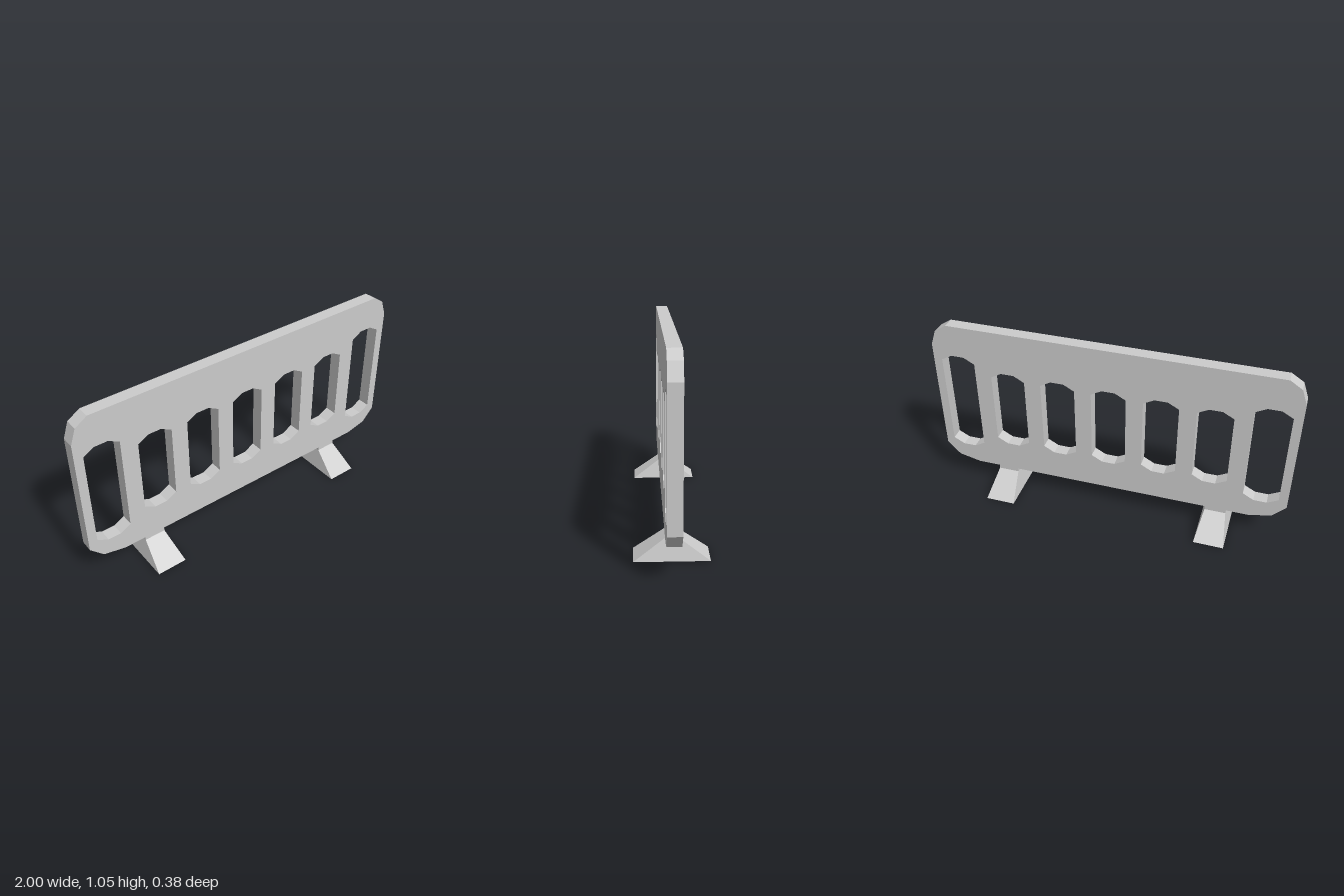
import * as THREE from 'three';

const material = new THREE.MeshStandardMaterial({ color: 0xcccccc, flatShading: true });
const DEPTH = 0.07;

// Upright slot with faceted ends, centred on x = cx
function slot(cx, bottom, top) {
  const w = 0.096, n = 0.036, c = 0.033;
  const half = [[w, bottom + c], [w, top - c], [n, top]];
  const left = [[-n, top], [-w, top - c], [-w, bottom + c], [-n, bottom]];
  const points = [[n, bottom], ...half, ...left];
  return new THREE.Path(points.map(([x, y]) => new THREE.Vector2(cx + x, y)));
}

// Barrier board with clipped corners and a row of slots
function createPanel() {
  const half = [[0.805, 0.144], [0.928, 0.173], [1, 0.25], [1, 0.922], [0.969, 1.007], [0.903, 1.049]];
  const mirrored = half.map(([x, y]) => [-x, y]).reverse();
  const shape = new THREE.Shape([...half, ...mirrored].map(([x, y]) => new THREE.Vector2(x, y)));
  for (let i = -2; i <= 2; i++) shape.holes.push(slot(i * 0.285, 0.323, 0.801));
  for (const side of [-1, 1]) shape.holes.push(slot(side * 0.856, 0.259, 0.865));

  const geometry = new THREE.ExtrudeGeometry(shape, { depth: DEPTH, bevelEnabled: false });
  geometry.translate(0, 0, -DEPTH / 2);
  const panel = new THREE.Mesh(geometry, material);
  panel.name = 'barrierPanel';
  return panel;
}

// Foot: flared wedge below a short neck that meets the board
function createFoot(side) {
  const foot = new THREE.Group();
  foot.name = side > 0 ? 'leftFoot' : 'rightFoot';
  foot.position.x = side * 0.621;

  const wedgeGeometry = new THREE.BoxGeometry(1, 0.115, 1);
  wedgeGeometry.translate(0, 0.0575, 0);
  const p = wedgeGeometry.attributes.position;
  for (let i = 0; i < p.count; i++) {
    const upper = p.getY(i) > 0.05;
    p.setX(i, p.getX(i) * (upper ? 0.118 : 0.168));
    p.setZ(i, p.getZ(i) * (upper ? 0.055 : 0.37));
  }
  wedgeGeometry.computeVertexNormals();
  const wedge = new THREE.Mesh(wedgeGeometry, material);
  wedge.name = 'footWedge';

  const neck = new THREE.Mesh(new THREE.BoxGeometry(0.118, 0.03, 0.055), material);
  neck.name = 'footNeck';
  neck.position.y = 0.13;

  foot.add(wedge, neck);
  return foot;
}

export function createModel() {
  const model = new THREE.Group();
  model.name = 'barrier';
  model.add(createPanel(), createFoot(-1), createFoot(1));
  // The barrier stands very slightly turned
  model.rotation.y = 0.0075;
  return model;
}
